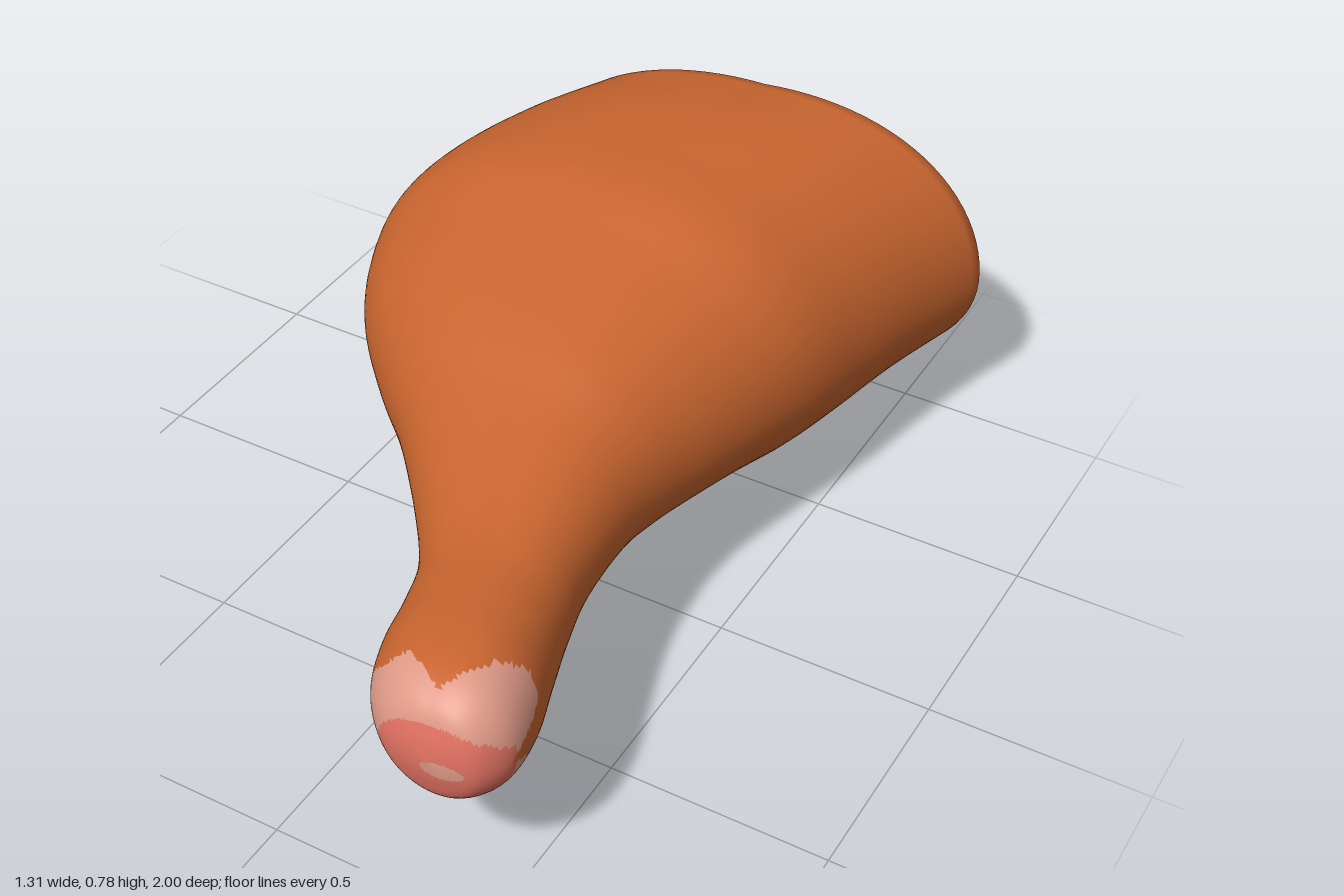
import * as THREE from 'three';

const N = 96; // points around every ring
const STEPS = 8; // rings between two sections

const paint = (name, color) => {
  const m = new THREE.MeshStandardMaterial({ color });
  m.name = name;
  return m;
};

// Sections along the leg: z, xMin, xMax, yMin, yMax
const SECTIONS = [
  [-1, -0.53, 0.65, 0.025, 0.755],
  [-0.8, -0.605, 0.59, 0.01, 0.77],
  [-0.6, -0.655, 0.545, 0.0, 0.773],
  [-0.42, -0.65, 0.51, 0.018, 0.768],
  [-0.25, -0.59, 0.465, 0.065, 0.725],
  [-0.1, -0.5, 0.425, 0.1, 0.69],
  [0.05, -0.365, 0.39, 0.14, 0.65],
  [0.2, -0.21, 0.375, 0.19, 0.6],
  [0.4, -0.04, 0.39, 0.232, 0.555],
  [0.55, 0.065, 0.425, 0.245, 0.537],
  [0.68, 0.11, 0.465, 0.238, 0.543],
  [0.8, 0.138, 0.503, 0.23, 0.55],
  [0.9, 0.18, 0.512, 0.24, 0.54],
  [0.965, 0.24, 0.48, 0.272, 0.505],
  [0.99, 0.3, 0.435, 0.33, 0.45],
  [1, 0.37, 0.37, 0.39, 0.39],
];

// Slightly fuller oval on the upper left side
function ringPoint([z, x0, x1, y0, y1], j) {
  const a = (j / N) * Math.PI * 2, rx = (x1 - x0) / 2, ry = (y1 - y0) / 2;
  const bulge = a < Math.PI / 2 ? 0.1 * Math.sin(2 * a) : 0;
  return [(x0 + x1) / 2 + rx * Math.cos(a), (y0 + y1) / 2 + ry * (Math.sin(a) + bulge), z];
}

// Triangles joining ring i to ring i + 1
function band(i, visit) {
  for (let j = 0; j < N; j++) {
    const k = (j + 1) % N, a = i * N + j, b = i * N + k;
    visit(a, b, a + N);
    visit(b, b + N, a + N);
  }
}

// z at which the skin ends on the knob, for every 20 degrees around its axis
const SKIN_END = [0.92, 0.79, 0.78, 0.83, 0.94, 0.91, 0.88, 0.9, 0.89, 0.87, 0.88, 0.91, 0.94, 0.93, 0.91, 0.85, 0.78, 0.8];

function knobPart(x, y, z) {
  const t = ((Math.atan2(y - 0.39, x - 0.34) / (Math.PI * 2) + 1) % 1) * SKIN_END.length;
  const i = Math.floor(t) % SKIN_END.length;
  const end = THREE.MathUtils.lerp(SKIN_END[i], SKIN_END[(i + 1) % SKIN_END.length], t - Math.floor(t));
  if (z < end) return 'skin';
  if (Math.hypot((x - 0.4) / 0.045, (y - 0.375) / 0.02) < 1) return 'knobFat';
  return z > 0.9 && Math.hypot((x - 0.385) / 0.145, (y - 0.36) / 0.115) < 1 ? 'knobMeat' : 'knobFat';
}

export function createModel() {
  const group = new THREE.Group();
  group.name = 'hamLeg';
  const skin = paint('roasted skin', 0xc9652f);
  const fat = paint('pale fat', 0xe09a88);
  const meat = paint('pink meat', 0xe27262);
  const boneEdge = paint('bone edge', 0xc4a184);
  const bone = paint('bone', 0xd2cc9a);

  const addPart = (name, material, source, index) => {
    const g = new THREE.BufferGeometry();
    g.setAttribute('position', source.getAttribute('position'));
    g.setAttribute('normal', source.getAttribute('normal'));
    g.setIndex(index);
    const mesh = new THREE.Mesh(g, material);
    mesh.name = name;
    group.add(mesh);
  };

  // Smooth loft through the sections
  const spline = (f) => new THREE.CatmullRomCurve3(SECTIONS.map(f), false, 'catmullrom', 0.5);
  const zx = spline((s) => new THREE.Vector3(s[0], s[1], s[2]));
  const zy = spline((s) => new THREE.Vector3(s[0], s[3], s[4]));
  const rings = (SECTIONS.length - 1) * STEPS;
  const pos = [], all = [];
  for (let i = 0; i <= rings; i++) {
    const a = zx.getPoint(i / rings), b = zy.getPoint(i / rings);
    for (let j = 0; j < N; j++) pos.push(...ringPoint([a.x, a.y, a.z, b.y, b.z], j));
  }
  for (let i = 0; i < rings; i++) band(i, (...t) => all.push(...t));
  const leg = new THREE.BufferGeometry();
  leg.setAttribute('position', new THREE.Float32BufferAttribute(pos, 3));
  leg.setIndex(all);
  leg.computeVertexNormals();

  // Soft shading across the cut, shared with the rim of the skin
  const softNormal = (x, y) =>
    new THREE.Vector3((0.6 * (x - 0.06)) / 0.59, (0.6 * (y - 0.39)) / 0.365, -1).normalize();
  const legNormal = leg.getAttribute('normal');
  for (let j = 0; j < N; j++) {
    const n = softNormal(pos[j * 3], pos[j * 3 + 1]);
    n.add(new THREE.Vector3().fromBufferAttribute(legNormal, j)).normalize();
    legNormal.setXYZ(j, n.x, n.y, n.z);
  }

  // Skin, with bare fat and meat at the tip of the knob
  const parts = { skin: [], knobFat: [], knobMeat: [] };
  for (let i = 0; i < all.length; i += 3) {
    const t = all.slice(i, i + 3);
    const mid = [0, 1, 2].map((c) => t.reduce((s, v) => s + pos[v * 3 + c], 0) / 3);
    parts[knobPart(...mid)].push(...t);
  }
  addPart('skin', skin, leg, parts.skin);
  addPart('knobFat', fat, leg, parts.knobFat);
  addPart('knobMeat', meat, leg, parts.knobMeat);

  // Cut face: rings from the marrow outward to the rim
  const cx = -0.1, cy = 0.375;
  const oval = (r) => (j) => {
    const a = (j / N) * Math.PI * 2;
    const q = r * (1 + 0.08 * Math.sin(3 * a));
    return [cx + q * 0.95 * Math.cos(a), cy + q * Math.sin(a), -1];
  };
  const rim = (j) => ringPoint(SECTIONS[0], j);
  const fatEdge = (j) => {
    const a = (j / N) * Math.PI * 2;
    const lobe = (at, w) => w * Math.max(0, Math.cos(a - at)) ** 8;
    const f = 0.91 - lobe(0.6, 0.06) - lobe(3.6, 0.04) + 0.008 * Math.sin(7 * a);
    const [x, y, z] = rim(j);
    return [0.06 + (x - 0.06) * f, 0.39 + (y - 0.39) * f, z];
  };
  const cutPos = [], cutNormal = [];
  for (const ring of [oval(0), oval(0.026), oval(0.075), oval(0.12), fatEdge, rim]) {
    for (let j = 0; j < N; j++) {
      const p = ring(j);
      cutPos.push(...p);
      cutNormal.push(...softNormal(p[0], p[1]).toArray());
    }
  }
  const cut = new THREE.BufferGeometry();
  cut.setAttribute('position', new THREE.Float32BufferAttribute(cutPos, 3));
  cut.setAttribute('normal', new THREE.Float32BufferAttribute(cutNormal, 3));
  const bands = [['marrow', meat], ['bone', bone], ['boneEdge', boneEdge], ['cutMeat', meat], ['cutFat', fat]];
  bands.forEach(([name, material], i) => {
    const index = [];
    band(i, (...t) => index.push(...t));
    addPart(name, material, cut, index);
  });
  return group;
}
